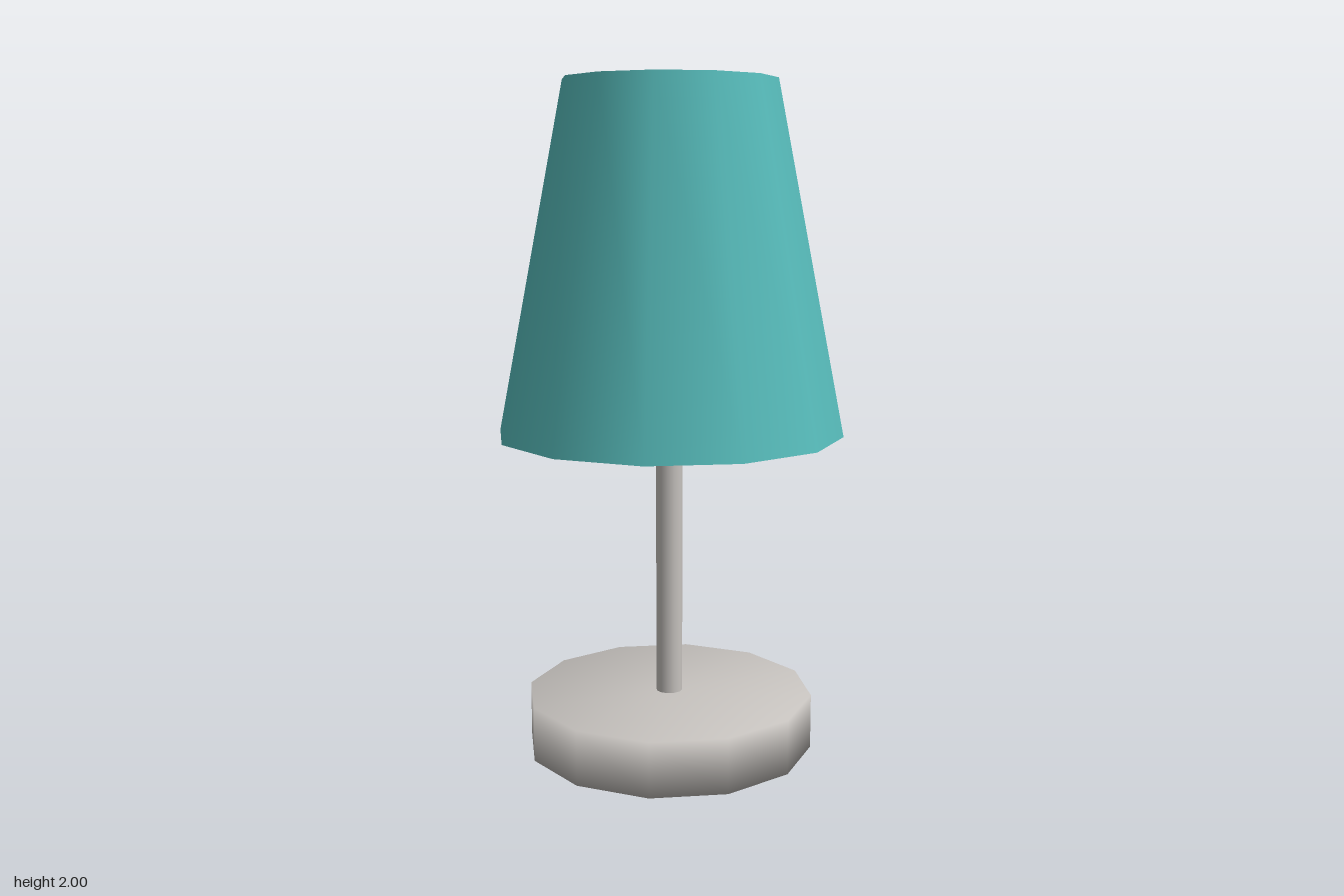
import * as THREE from 'three';

const SIDES = 12;

export function createModel() {
  const lamp = new THREE.Group();
  lamp.name = 'tableLamp';
  const fabric = new THREE.MeshStandardMaterial({ color: 0x57bcbb });
  const metal = new THREE.MeshStandardMaterial({ color: 0xc6c2be });
  const bracketMetal = metal.clone();
  bracketMetal.side = THREE.DoubleSide;
  fabric.name = 'teal fabric';
  metal.name = bracketMetal.name = 'warm grey metal';

  // Turned part from a profile of [radius, height] points
  const turn = (name, profile, material, parent = lamp) => {
    const points = profile.map(([r, y]) => new THREE.Vector2(r, y));
    const mesh = new THREE.Mesh(new THREE.LatheGeometry(points, SIDES), material);
    mesh.name = name;
    parent.add(mesh);
    return mesh;
  };

  // Foot with softly shaded edges, and the pole
  turn('base', [[0, 0], [0.435, 0], [0.435, 0.165], [0, 0.165]], metal);
  turn('pole', [[0.04, 0.16], [0.04, 1.36]], metal);

  // Socket and bulb
  turn('socket', [[0, 1.33], [0.08, 1.36], [0.08, 1.44]], metal);
  const bulb = new THREE.Mesh(new THREE.SphereGeometry(0.08, SIDES, 8), metal);
  bulb.name = 'bulb';
  bulb.position.y = 1.44;
  lamp.add(bulb);

  // Hollow shade: each wall and rim is separate, so the lips stay sharp
  const shade = new THREE.Group();
  shade.name = 'shade';
  lamp.add(shade);
  const ring = [[0.518, 0.965], [0.315, 2], [0.293, 2], [0.5, 0.965]];
  ['outerWall', 'topRim', 'innerWall', 'bottomRim'].forEach((name, i) =>
    turn(name, [ring[i], ring[(i + 1) % 4]], fabric, shade));

  // Three sloping brackets, one shade side wide, from the socket to the top rim
  for (let i = 0; i < 3; i++) {
    const start = Math.PI / 6 + (i * Math.PI * 2) / 3;
    const profile = [new THREE.Vector2(0.29, 1.995), new THREE.Vector2(0.04, 1.34)];
    const bracket = new THREE.Mesh(
      new THREE.LatheGeometry(profile, 1, start, Math.PI / 6), bracketMetal);
    bracket.name = 'shadeBracket' + (i + 1);
    lamp.add(bracket);
  }
  return lamp;
}
